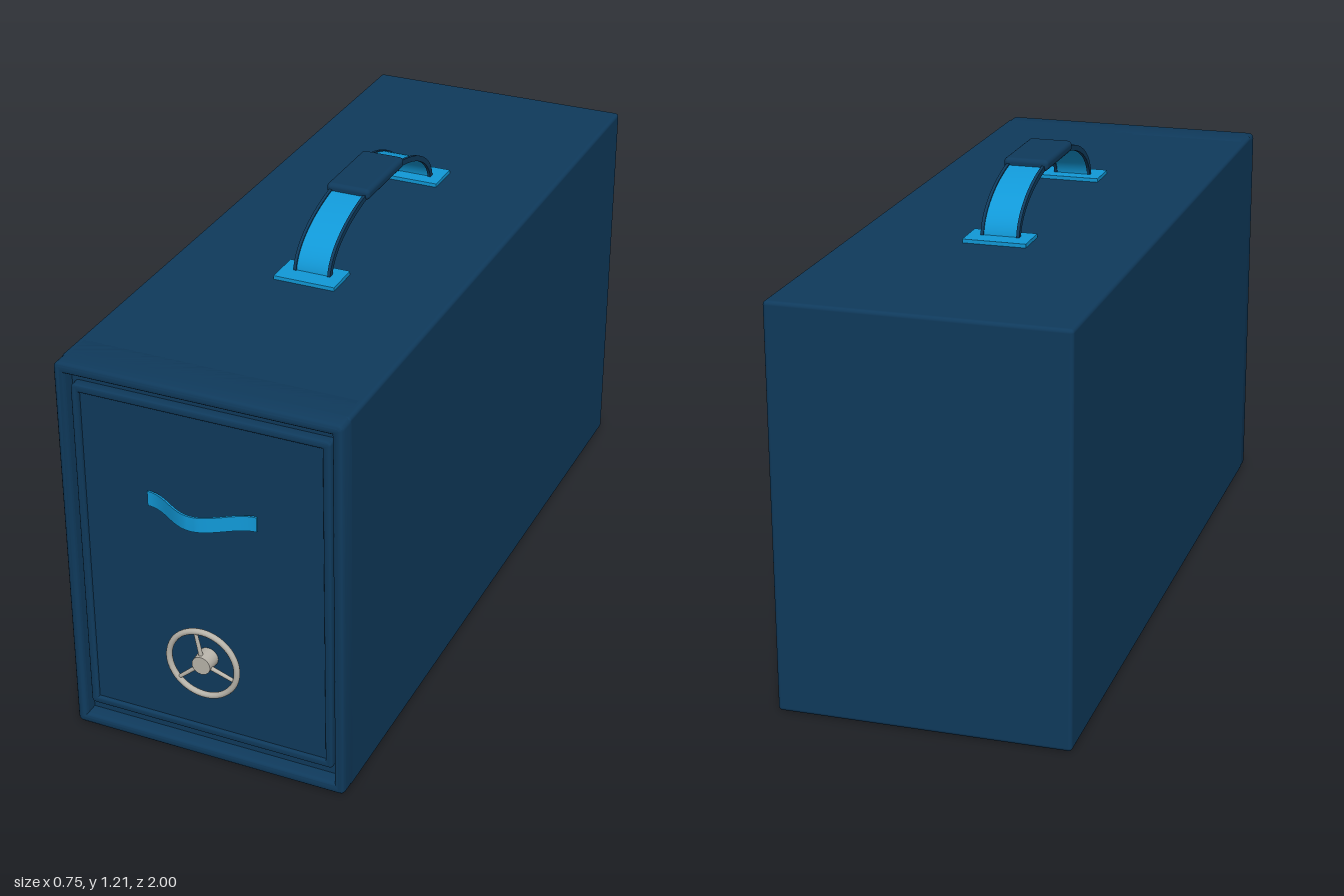
import * as THREE from 'three';
import { toCreasedNormals } from 'three/addons/utils/BufferGeometryUtils.js';
import { RoundedBoxGeometry } from 'three/addons/geometries/RoundedBoxGeometry.js';

const material = (name, color) => {
  const m = new THREE.MeshStandardMaterial({ color });
  m.name = name;
  return m;
};

// Rounded rectangle outline, for shapes and holes
function roundedRect(path, x, y0, y1, r) {
  path.moveTo(-x + r, y0);
  path.lineTo(x - r, y0);
  path.quadraticCurveTo(x, y0, x, y0 + r);
  path.lineTo(x, y1 - r);
  path.quadraticCurveTo(x, y1, x - r, y1);
  path.lineTo(-x + r, y1);
  path.quadraticCurveTo(-x, y1, -x, y1 - r);
  path.lineTo(-x, y0 + r);
  path.quadraticCurveTo(-x, y0, -x + r, y0);
  return path;
}

// Bevelled rectangular frame between z0 and z1, with border width w
function frameGeometry(x, y0, y1, w, z0, z1, b) {
  const shape = roundedRect(new THREE.Shape(), x - b, y0 + b, y1 - b, 0.006);
  shape.holes.push(roundedRect(new THREE.Path(), x - w + b, y0 + w - b, y1 - w + b, 0.006));
  const geo = new THREE.ExtrudeGeometry(shape, {
    depth: z1 - z0 - 2 * b, bevelSize: b, bevelThickness: b, bevelSegments: 3, curveSegments: 3,
  });
  geo.translate(0, 0, z0 + b);
  return toCreasedNormals(geo, 0.7);
}

// Bent strip: a curve thickened by t and extruded to a width
function stripGeometry(points, t, width) {
  const offset = (side) => points.map((p, i) => {
    const a = points[Math.max(i - 1, 0)], c = points[Math.min(i + 1, points.length - 1)];
    const d = c.clone().sub(a).normalize();
    return new THREE.Vector2(p.x - d.y * side * t / 2, p.y + d.x * side * t / 2);
  });
  const shape = new THREE.Shape([...offset(1), ...offset(-1).reverse()]);
  const geo = new THREE.ExtrudeGeometry(shape, { depth: width, bevelEnabled: false });
  geo.translate(0, 0, -width / 2);
  return toCreasedNormals(geo, 0.6);
}

export function createModel() {
  const root = new THREE.Group();
  const navy = material('navy paint', 0x0f3a5c);
  const blue = material('bright blue', 0x1199d8);
  const metal = material('pale metal', 0xb8b4aa);

  const add = (name, geo, mat, x = 0, y = 0, z = 0, parent = root) => {
    const mesh = new THREE.Mesh(geo, mat);
    mesh.name = name;
    mesh.position.set(x, y, z);
    parent.add(mesh);
    return mesh;
  };

  // Case with a rim standing proud of the front
  add('caseBody', new RoundedBoxGeometry(0.75, 1.055, 1.915, 3, 0.01), navy, 0, 0.5275, -0.0425);
  add('frontRim', frameGeometry(0.375, 0, 1.055, 0.028, 0.82, 0.955, 0.01), navy);

  // Door with a raised border and inset panel
  add('door', new RoundedBoxGeometry(0.676, 0.934, 0.04, 2, 0.008), navy, 0, 0.53, 0.913);
  add('doorBorder', frameGeometry(0.338, 0.063, 0.997, 0.02, 0.91, 0.942, 0.005), navy);

  // Bowed door pull
  const pull = [];
  for (let i = 0; i <= 32; i++) {
    const u = i / 16 - 1;
    pull.push(new THREE.Vector2(u * 0.145, 0.937 + 0.03 * (1 + Math.cos(Math.PI * u))));
  }
  const pullGeo = stripGeometry(pull, 0.005, 0.04);
  pullGeo.rotateX(Math.PI / 2);
  add('doorPull', pullGeo, blue, 0, 0.725, 0);

  // Spoked hand wheel
  const wheel = new THREE.Group();
  wheel.name = 'handWheel';
  wheel.position.set(0, 0.297, 0.963);
  root.add(wheel);
  add('wheelRing', new THREE.TorusGeometry(0.093, 0.008, 10, 48), metal, 0, 0, 0, wheel);
  const hub = new THREE.CylinderGeometry(0.025, 0.027, 0.045, 24);
  hub.rotateX(Math.PI / 2);
  add('wheelHub', hub, metal, 0, 0, -0.011, wheel);
  for (let i = 0; i < 3; i++) {
    const spoke = new THREE.CylinderGeometry(0.005, 0.006, 0.09, 10);
    spoke.translate(0, 0.046, 0);
    add('wheelSpoke', spoke, metal, 0, 0, 0, wheel).rotation.z = 0.2 + i * Math.PI * 2 / 3;
  }

  // Arched carrying handle: strap, edge trims, grip and mounting plates
  const handle = new THREE.Group();
  handle.name = 'carryHandle';
  handle.position.z = -0.025;
  root.add(handle);
  const arch = [];
  for (let i = 0; i <= 40; i++) {
    const a = Math.PI * i / 40;
    arch.push(new THREE.Vector2(Math.cos(a) * 0.33, 1.055 + Math.sin(a) * 0.143));
  }
  const archStrip = (t, width) => stripGeometry(arch, t, width).rotateY(-Math.PI / 2);
  add('handleStrap', archStrip(0.008, 0.088), blue, 0, 0, 0, handle);
  for (const s of [-1, 1]) {
    add('strapTrim', archStrip(0.015, 0.008), navy, s * 0.047, 0, 0, handle);
    add('mountingPlate', new THREE.BoxGeometry(0.166, 0.012, 0.1), blue, 0, 1.059, s * 0.335, handle);
  }
  add('handleGrip', new RoundedBoxGeometry(0.12, 0.03, 0.235, 3, 0.012), navy, 0, 1.196, 0, handle);

  return root;
}
